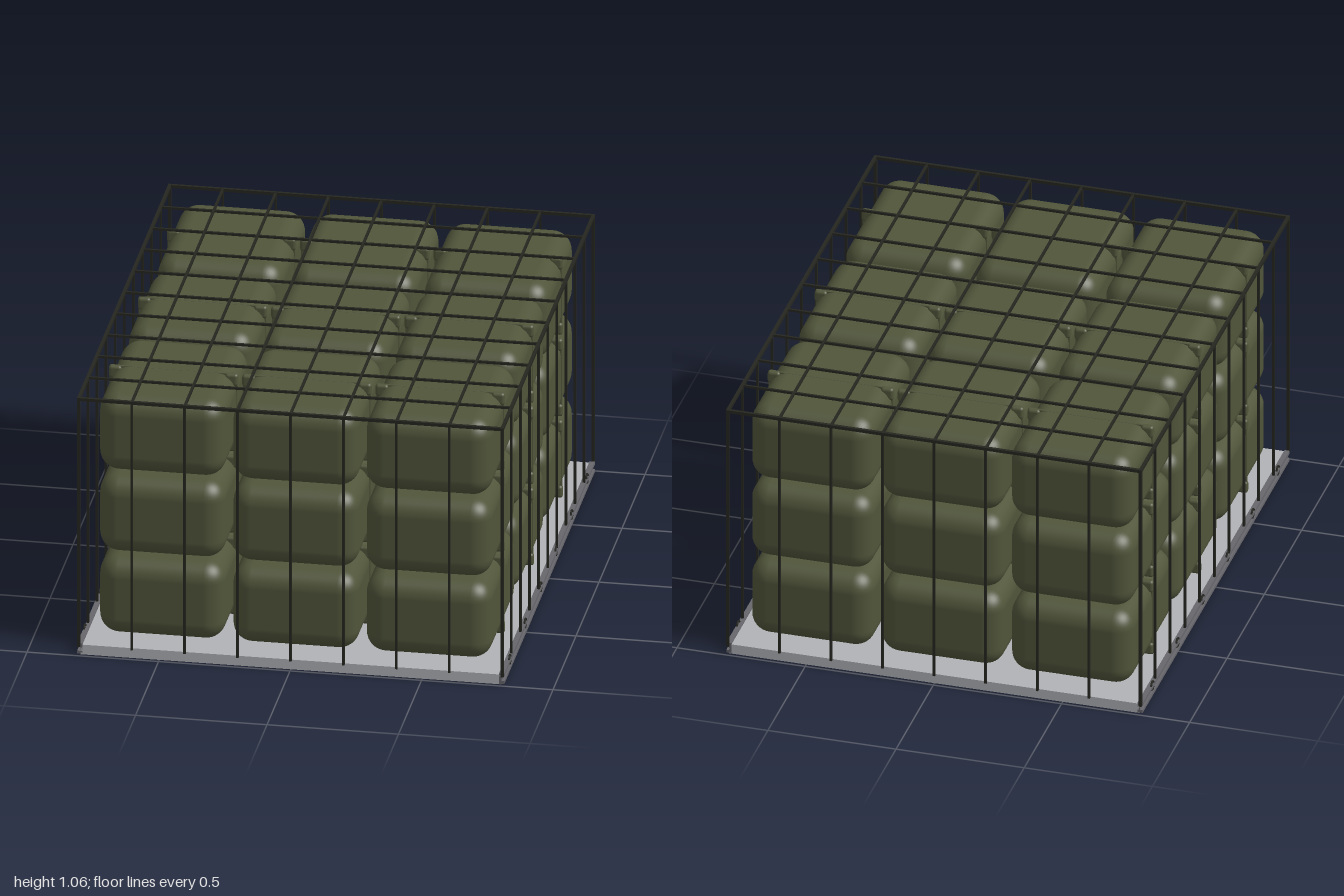
import * as THREE from 'three';
import { RoundedBoxGeometry } from 'three/addons/geometries/RoundedBoxGeometry.js';

const mat = (color) => new THREE.MeshStandardMaterial({ color });

export function createModel() {
  const model = new THREE.Group();
  const metal = mat(0xb0b2b6), railGrey = mat(0x66666c);
  const canvas = mat(0x50553a), cord = mat(0x25261f);

  const add = (parent, name, geometry, material, x = 0, y = 0, z = 0) => {
    const mesh = new THREE.Mesh(geometry, material);
    mesh.name = name;
    mesh.position.set(x, y, z);
    parent.add(mesh);
    return mesh;
  };
  const group = (name) => {
    const g = new THREE.Group();
    g.name = name;
    model.add(g);
    return g;
  };

  // Flat pallet with a channelled rail and tie-down rings along each long side
  const pallet = group('pallet');
  add(pallet, 'palletDeck', new THREE.BoxGeometry(1.6, 0.04, 1.97), metal, 0, 0.02, 0);
  const lip = new THREE.BoxGeometry(0.02, 0.012, 1.97);
  const web = new THREE.BoxGeometry(0.01, 0.045, 1.97);
  const ring = new THREE.TorusGeometry(0.017, 0.004, 6, 14);
  for (const s of [-1, 1]) {
    add(pallet, 'railWeb', web, railGrey, s * 0.797, 0.0225, 0);
    for (const y of [0.008, 0.039]) add(pallet, 'railLip', lip, railGrey, s * 0.802, y, 0);
    for (let i = 0; i < 6; i++) {
      const r = add(pallet, 'tieRing', ring, cord, s * 0.808, 0.04, -0.84 + i * 0.336);
      r.rotation.y = Math.PI / 2;
    }
  }

  // Padded bags stacked 3 x 3 x 3, each with a middle seam and corner gathers
  const load = group('cargoBags');
  const W = 0.478, H = 0.314, D = 0.598;
  const body = new RoundedBoxGeometry(W, H, D, 5, 0.075);
  const seam = new RoundedBoxGeometry(W + 0.008, H + 0.004, 0.008, 2, 0.003);
  const gather = new RoundedBoxGeometry(0.05, 0.05, 0.028, 3, 0.012);
  for (let i = -1; i <= 1; i++)
    for (let j = 0; j < 3; j++)
      for (let k = -1; k <= 1; k++) {
        const bag = new THREE.Group();
        bag.name = 'bag';
        bag.position.set(i * 0.507, 0.21 + j * 0.334, k * 0.63);
        load.add(bag);
        add(bag, 'bagBody', body, canvas);
        add(bag, 'bagSeam', seam, canvas);
        for (const sx of [-1, 1])
          for (const sy of [-1, 1])
            add(bag, 'cornerGather', gather, canvas, sx * (W / 2 - 0.018), sy * (H / 2 - 0.023), 0);
      }

  // Cargo net: a grid over the top with cords dropping to the pallet
  const net = group('cargoNet');
  const X = 0.805, Z = 0.99, TOP = 1.05, BASE = 0.04;
  const strand = (name, a, b, t = 0.009) => {
    const d = new THREE.Vector3(b[0] - a[0], b[1] - a[1], b[2] - a[2]);
    const size = d.toArray().map((v) => Math.abs(v) + t);
    add(net, name, new THREE.BoxGeometry(...size), cord,
      (a[0] + b[0]) / 2, (a[1] + b[1]) / 2, (a[2] + b[2]) / 2);
  };
  for (let i = 0; i <= 8; i++) {
    const x = -X + (i * X) / 4, edge = i % 8 === 0 ? 0.012 : 0.009;
    strand('topCord', [x, TOP, -Z], [x, TOP, Z], edge);
    for (const z of [-Z, Z]) strand('endCord', [x, BASE, z], [x, TOP, z], edge);
  }
  for (let k = 0; k <= 10; k++) {
    const z = -Z + (k * Z) / 5, edge = k % 10 === 0 ? 0.012 : 0.009;
    strand('crossCord', [-X, TOP, z], [X, TOP, z], edge);
    if (k > 0 && k < 10)
      for (const x of [-X, X]) strand('sideCord', [x, BASE, z], [x, TOP, z]);
  }
  return model;
}
